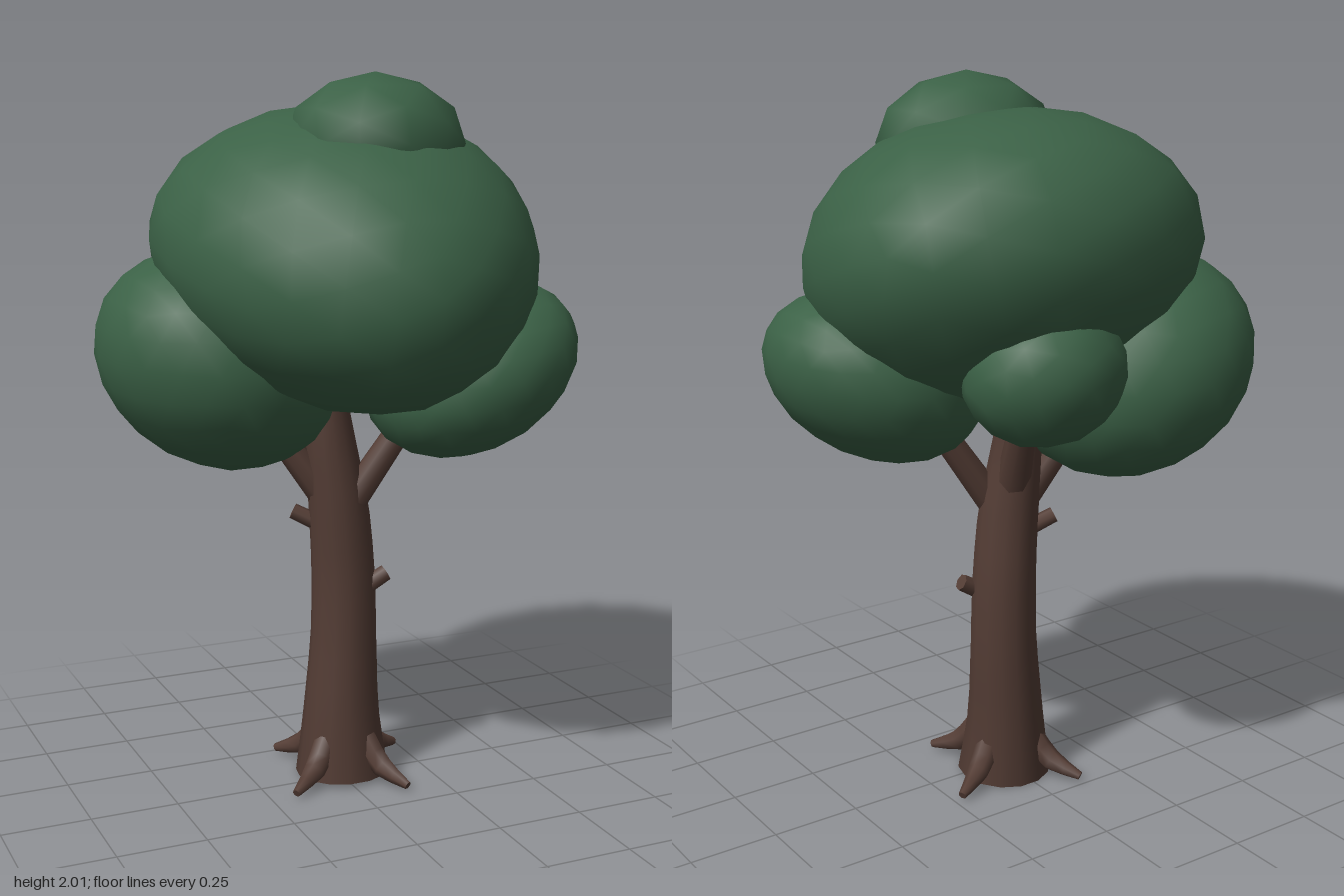
import * as THREE from 'three';
import { mergeVertices, mergeGeometries } from 'three/addons/utils/BufferGeometryUtils.js';

const foliage = new THREE.MeshStandardMaterial({ color: 0x3b6146 });
foliage.name = 'foliage green';
const bark = new THREE.MeshStandardMaterial({ color: 0x543d35, side: THREE.DoubleSide });
bark.name = 'bark brown';

// Smooth rounded leaf clump; taper narrows it towards its local front
function clump(name, center, radii, rotation, detail = 3, taper = 0) {
  let geo = new THREE.IcosahedronGeometry(1, detail);
  geo.deleteAttribute('uv');
  geo.deleteAttribute('normal');
  geo = mergeVertices(geo, 1e-4);
  const p = geo.attributes.position;
  for (let i = 0; i < p.count; i++) p.setX(i, p.getX(i) * (1 - taper * p.getZ(i)));
  geo.scale(...radii);
  geo.computeVertexNormals();
  const mesh = new THREE.Mesh(geo, foliage);
  mesh.name = name;
  mesh.position.set(...center);
  mesh.rotation.set(...rotation);
  return mesh;
}

// Limb along a curve, capped at its tip; each point is [x, y, z, radius]
function limb(name, points, sides, steps) {
  const curve = new THREE.CatmullRomCurve3(points.map(q => new THREE.Vector3(q[0], q[1], q[2])));
  const tube = new THREE.TubeGeometry(curve, steps, 1, sides);
  const p = tube.attributes.position;
  const row = sides + 1, v = new THREE.Vector3();
  for (let j = 0; j <= steps; j++) {
    const u = j / steps;
    const c = curve.getPointAt(u);
    const t = curve.getUtoTmapping(u) * (points.length - 1);
    const k = Math.min(Math.floor(t), points.length - 2);
    const r = THREE.MathUtils.lerp(points[k][3], points[k + 1][3], t - k);
    for (let i = 0; i < row; i++) {
      v.fromBufferAttribute(p, j * row + i).sub(c).multiplyScalar(r).add(c);
      p.setXYZ(j * row + i, v.x, v.y, v.z);
    }
  }
  // Tip cap
  const cap = [];
  const tip = curve.getPointAt(1).toArray();
  const rim = i => v.fromBufferAttribute(p, steps * row + i).toArray();
  for (let i = 0; i < sides; i++) cap.push(...tip, ...rim(i + 1), ...rim(i));
  const capGeo = new THREE.BufferGeometry();
  capGeo.setAttribute('position', new THREE.Float32BufferAttribute(cap, 3));
  capGeo.computeVertexNormals();
  const side = tube.toNonIndexed();
  side.deleteAttribute('uv');
  const mesh = new THREE.Mesh(mergeGeometries([side, capGeo]), bark);
  mesh.name = name;
  return mesh;
}

export function createModel() {
  const tree = new THREE.Group();
  tree.name = 'tree';

  // Trunk, open below, flared at the base and bending gently
  tree.add(limb('trunk', [
    [0.015, 0, -0.03, 0.135], [0.015, 0.1, -0.035, 0.12], [0.017, 0.2, -0.04, 0.108],
    [0.027, 0.4, -0.047, 0.095], [0.027, 0.6, -0.05, 0.091], [0.012, 0.8, -0.05, 0.086],
    [-0.01, 1.0, -0.06, 0.07], [-0.015, 1.18, -0.07, 0.045],
  ], 14, 14));

  // Four roots
  for (const degrees of [-26, 62, 146, 238]) {
    const a = THREE.MathUtils.degToRad(degrees);
    const at = (d, y, r) => [0.015 + d * Math.cos(a), y, -0.03 + d * Math.sin(a), r];
    tree.add(limb('root', [at(0.085, 0.115, 0.035), at(0.14, 0.05, 0.034), at(0.24, 0.01, 0.012)], 7, 4));
  }

  // Branches reaching into the crown
  tree.add(limb('leftBranch', [[0.04, 0.81, -0.02, 0.045], [0.195, 1.05, 0.025, 0.037]], 8, 1));
  tree.add(limb('rightBranch', [[-0.03, 0.83, -0.06, 0.045], [-0.2, 1.08, -0.12, 0.035]], 8, 1));
  tree.add(limb('backBranch', [[0.02, 0.88, -0.08, 0.05], [0.06, 1.22, -0.22, 0.03]], 8, 1));

  // Cut stubs
  tree.add(limb('leftStub', [[0.07, 0.55, -0.01, 0.026], [0.14, 0.592, 0, 0.024]], 7, 1));
  tree.add(limb('rightStub', [[-0.03, 0.735, -0.07, 0.025], [-0.105, 0.775, -0.105, 0.023]], 7, 1));

  // Crown
  tree.add(clump('mainCrown', [0.038, 1.505, 0], [0.535, 0.393, 0.565], [0.32, 0, 0], 3, 0.16));
  tree.add(clump('leftClump', [0.341, 1.197, 0.118], [0.316, 0.222, 0.3], [0, 0, 0.5]));
  tree.add(clump('rightClump', [-0.297, 1.213, -0.185], [0.358, 0.297, 0.353], [0, 0, -0.54]));
  tree.add(clump('backClump', [0.105, 1.265, -0.342], [0.222, 0.19, 0.208], [0.5, 0, 0], 2));
  tree.add(clump('topClump', [0.07, 1.812, 0.065], [0.25, 0.188, 0.222], [0, 0, 0], 1));
  return tree;
}
